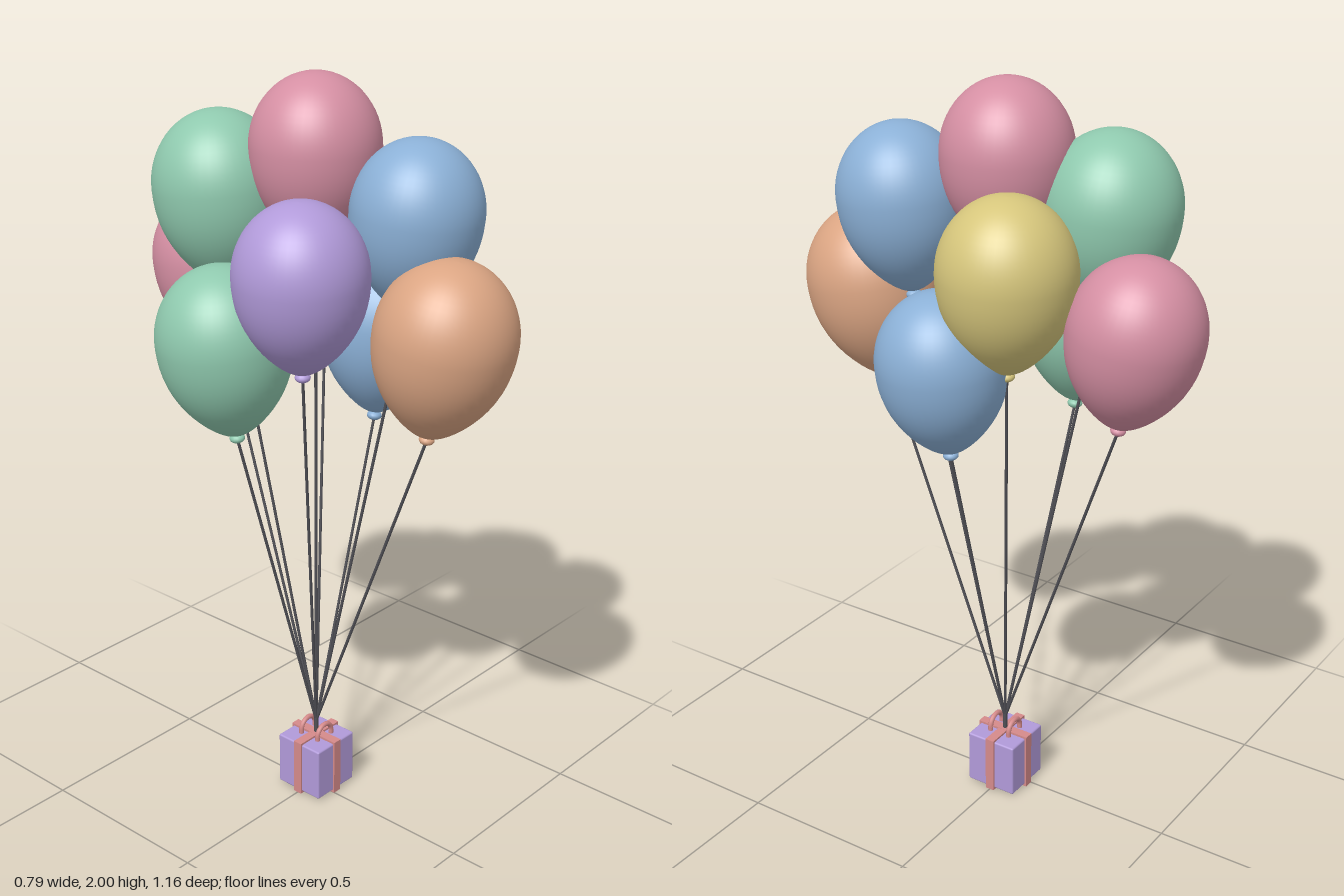
import * as THREE from 'three';
import { RoundedBoxGeometry } from 'three/addons/geometries/RoundedBoxGeometry.js';

const mat = (name, color) => {
  const m = new THREE.MeshStandardMaterial({ color });
  m.name = name;
  return m;
};

export function createModel() {
  const root = new THREE.Group();
  root.name = 'balloonBouquet';
  const M = {
    pink: mat('pink', 0xd58fa3),
    green: mat('green', 0x8fc9ae),
    blue: mat('blue', 0x8bb0d6),
    yellow: mat('yellow', 0xd6c67c),
    purple: mat('purple', 0xb19ad9),
    orange: mat('orange', 0xdba583),
    ribbon: mat('ribbon', 0xd58a8a),
    string: mat('string', 0x505056),
  };
  const add = (parent, name, geo, material, x = 0, y = 0, z = 0) => {
    const m = new THREE.Mesh(geo, material);
    m.name = name;
    m.position.set(x, y, z);
    parent.add(m);
    return m;
  };

  // Teardrop profile of unit radius, widest at y = 0
  const UP = 1.1, DOWN = 1.53;
  const profile = [];
  for (let i = 0; i <= 32; i++) {
    const t = -Math.PI / 2 + (Math.PI * i) / 32;
    const s = Math.sin(t);
    const taper = s < 0 ? 1 + 0.3 * s * s * s : 1;
    const r = i === 0 || i === 32 ? 0 : Math.cos(t) * taper;
    profile.push(new THREE.Vector2(r, s * (s < 0 ? DOWN : UP)));
  }
  const bodyGeo = new THREE.LatheGeometry(profile, 48);
  const knotGeo = new THREE.SphereGeometry(0.02, 16, 10).scale(1, 0.65, 1);

  const anchor = new THREE.Vector3(0.012, 0.2, 0);
  const up = new THREE.Vector3(0, 1, 0);

  // Colour, centre x, top y, centre z, radius
  const balloons = [
    ['pink', 0.03, 2.0, -0.02, 0.165],
    ['pink', 0.07, 1.64, -0.41, 0.17],
    ['green', -0.06, 1.89, -0.26, 0.173],
    ['green', -0.225, 1.56, -0.095, 0.172],
    ['yellow', 0.19, 1.77, -0.125, 0.172],
    ['purple', -0.18, 1.75, 0.12, 0.167],
    ['blue', 0.093, 1.87, 0.25, 0.165],
    ['blue', 0.23, 1.515, 0.04, 0.165],
    ['orange', 0.023, 1.62, 0.4, 0.177],
  ];
  balloons.forEach(([color, x, top, z, r]) => {
    const centre = new THREE.Vector3(x, top - UP * r, z);
    // Each balloon leans about half as much as its string
    const axis = centre.clone().sub(anchor);
    axis.x *= 0.52;
    axis.z *= 0.52;
    axis.normalize();

    const g = new THREE.Group();
    g.name = color + 'Balloon';
    g.position.copy(centre);
    g.quaternion.setFromUnitVectors(up, axis);
    add(g, 'body', bodyGeo, M[color]).scale.setScalar(r);
    add(g, 'knot', knotGeo, M[color], 0, -DOWN * r - 0.01, 0);
    root.add(g);

    const tie = centre.clone().addScaledVector(axis, -DOWN * r - 0.015);
    const path = new THREE.LineCurve3(tie, anchor);
    add(root, 'string', new THREE.TubeGeometry(path, 1, 0.004, 6), M.string);
  });

  // Gift box weight with crossed ribbon bands
  const gift = new THREE.Group();
  gift.name = 'giftBox';
  gift.position.set(0.012, 0, 0);
  root.add(gift);
  add(gift, 'box', new RoundedBoxGeometry(0.148, 0.152, 0.148, 2, 0.005), M.purple, 0, 0.082, 0);
  add(gift, 'ribbonBand', new THREE.BoxGeometry(0.026, 0.164, 0.158), M.ribbon, 0, 0.082, 0);
  add(gift, 'ribbonBand', new THREE.BoxGeometry(0.158, 0.163, 0.026), M.ribbon, 0, 0.082, 0);

  // Bow loops and the gathered strings between them
  for (const side of [-1, 1]) {
    add(gift, 'bowLoop', new THREE.TorusGeometry(0.028, 0.007, 10, 24, Math.PI), M.ribbon, 0, 0.17, side * 0.03);
    for (const end of [-1, 1])
      add(gift, 'bowLoopEnd', new THREE.CylinderGeometry(0.007, 0.007, 0.012, 10), M.ribbon, end * 0.028, 0.165, side * 0.03);
  }
  add(gift, 'stringTie', new THREE.CylinderGeometry(0.006, 0.006, 0.05, 10), M.string, 0, 0.185, 0);

  return root;
}
